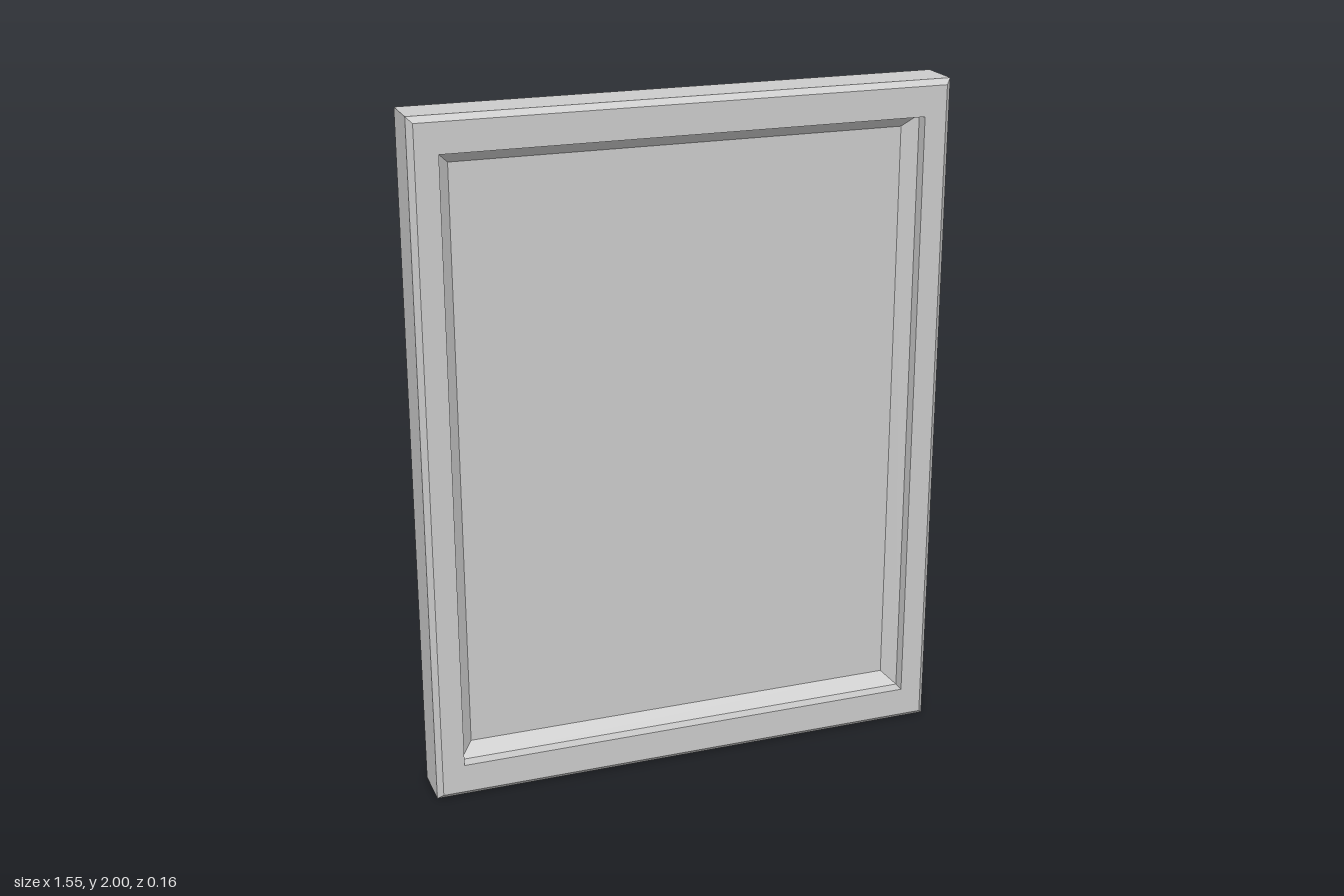
import * as THREE from 'three';

const material = new THREE.MeshStandardMaterial({ color: 0xcccccc, flatShading: true });

// Skin through a list of rectangles [halfWidth, halfHeight, z], flat faced
function loftRectangles(rings) {
  const corners = ([w, h, z]) => [[-w, -h, z], [w, -h, z], [w, h, z], [-w, h, z]];
  const positions = [];
  for (let r = 0; r < rings.length - 1; r++) {
    const a = corners(rings[r]);
    const b = corners(rings[r + 1]);
    for (let i = 0; i < 4; i++) {
      const j = (i + 1) % 4;
      positions.push(...a[i], ...a[j], ...b[j], ...a[i], ...b[j], ...b[i]);
    }
  }
  const geometry = new THREE.BufferGeometry();
  geometry.setAttribute('position', new THREE.Float32BufferAttribute(positions, 3));
  geometry.computeVertexNormals();
  return geometry;
}

export function createModel() {
  const group = new THREE.Group();
  const add = (name, geometry) => {
    const mesh = new THREE.Mesh(geometry, material);
    mesh.name = name;
    mesh.position.y = 1;
    group.add(mesh);
    return mesh;
  };

  const W = 0.777, H = 1, D = 0.081, bevel = 0.016;
  const panelW = 0.657, panelH = 0.86, panelZ = 0.01;

  // Frame: chamfered outside, flat rim, straight inner wall, sloped moulding
  add('frame', loftRectangles([
    [W - bevel, H - bevel, -D],
    [W, H, -D + bevel],
    [W, H, D - bevel],
    [W - bevel, H - bevel, D],
    [0.696, 0.898, D],
    [0.696, 0.898, 0.044],
    [panelW, panelH, panelZ],
  ]));

  // Recessed picture panel
  add('frontPanel', new THREE.PlaneGeometry(2 * panelW, 2 * panelH)).position.z = panelZ;

  // Flat back
  const back = add('backPanel', new THREE.PlaneGeometry(2 * (W - bevel), 2 * (H - bevel)));
  back.rotation.y = Math.PI;
  back.position.z = -D;

  return group;
}
